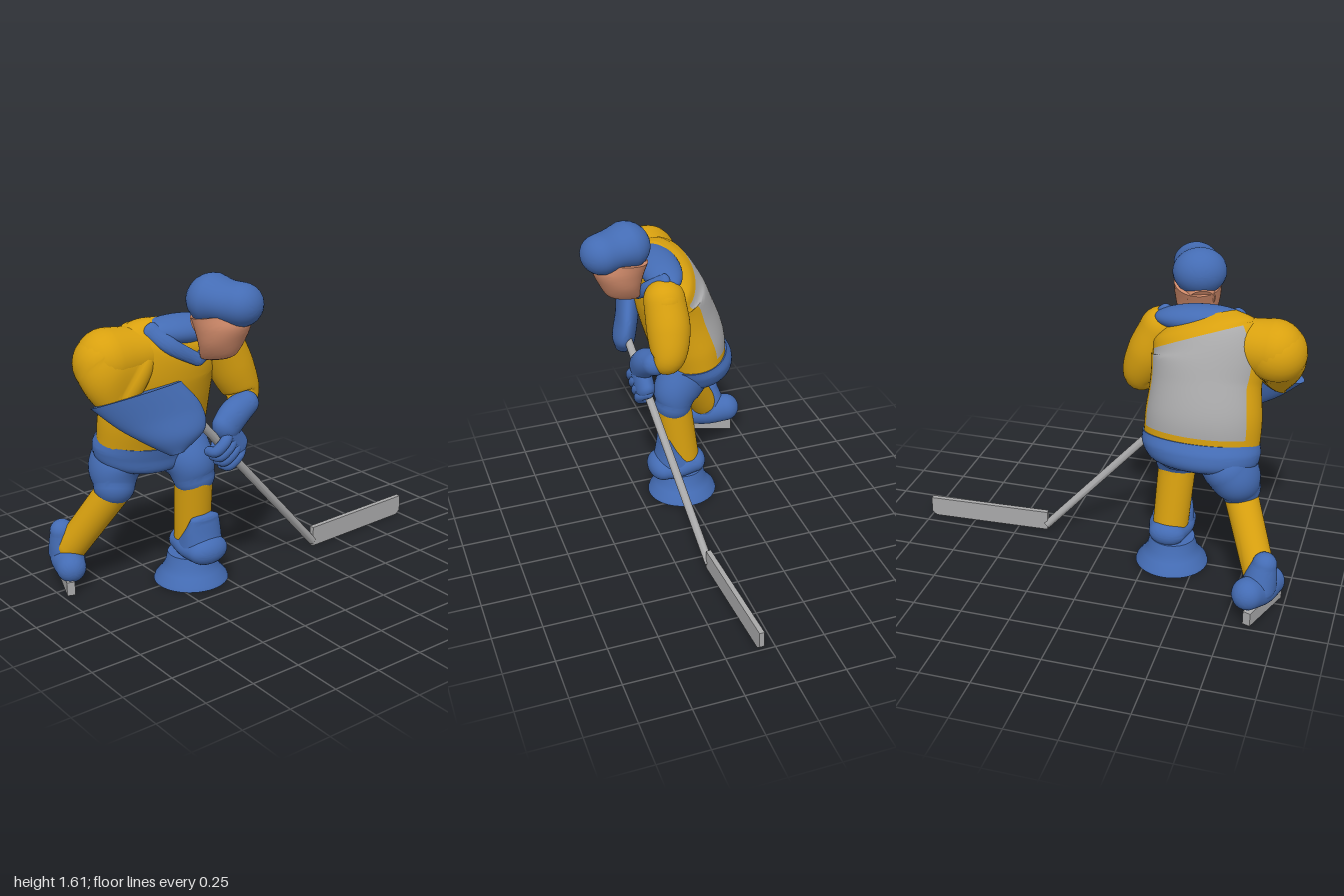
import * as THREE from 'three';
import { toCreasedNormals } from 'three/addons/utils/BufferGeometryUtils.js';

const material = (name, color) => Object.assign(new THREE.MeshStandardMaterial({ color }), { name });

// Smooth body of elliptical sections [x, y, z, ru, rv]; ru runs along the hint axis.
// With axis given, all sections are parallel and face that way.
function loft(pts, { hint = [1, 0, 0], axis = null, start = true, end = true, seg = 40, steps = 8, second = null } = {}) {
  const V = (x, y, z) => new THREE.Vector3(x, y, z);
  const path = new THREE.CatmullRomCurve3(pts.map(p => V(p[0], p[1], p[2])), false, 'catmullrom');
  const size = new THREE.CatmullRomCurve3(pts.map(p => V(p[3], p[4] ?? p[3], 0)), false, 'catmullrom');
  const rings = [];
  const ring = (t, slide = 0, scale = 1) => {
    const s = size.getPoint(t), tan = axis ? V(...axis).normalize() : path.getTangent(t);
    const c = path.getPoint(t).addScaledVector(tan, slide * Math.min(s.x, s.y));
    const u = V(...hint).addScaledVector(tan, -tan.dot(V(...hint))).normalize();
    rings.push({ t, c, u, v: tan.clone().cross(u), ru: s.x * scale, rv: s.y * scale });
  };
  const K = 7, n = steps * (pts.length - 1);
  if (start) for (let k = K; k > 0; k--) { const a = k / K * 1.5; ring(0, -Math.sin(a), Math.cos(a)); }
  for (let i = 0; i <= n; i++) ring(i / n);
  if (end) for (let k = 1; k <= K; k++) { const a = k / K * 1.5; ring(1, Math.sin(a), Math.cos(a)); }
  const pos = [], main = [], other = [];
  for (const r of rings) for (let j = 0; j < seg; j++) {
    const a = j / seg * Math.PI * 2;
    pos.push(...r.c.clone().addScaledVector(r.u, Math.cos(a) * r.ru).addScaledVector(r.v, Math.sin(a) * r.rv));
  }
  const last = rings.length - 1, hub = rings.length * seg;
  pos.push(...rings[0].c, ...rings[last].c);
  for (let j = 0; j < seg; j++) {
    const k = (j + 1) % seg;
    for (let i = 0; i < last; i++) {
      const a = i * seg + j, b = i * seg + k;
      const list = second && second(rings[i].t, (j + 0.5) / seg) ? other : main;
      list.push(a, b, b + seg, a, b + seg, a + seg);
    }
    main.push(hub, k, j, hub + 1, last * seg + j, last * seg + k);
  }
  const g = new THREE.BufferGeometry();
  g.setAttribute('position', new THREE.Float32BufferAttribute(pos, 3));
  g.setIndex(main.concat(other));
  if (second) {
    g.addGroup(0, main.length, 0);
    g.addGroup(main.length, other.length, 1);
  }
  return toCreasedNormals(g, 0.9);
}

export function createModel() {
  const model = new THREE.Group();
  model.name = 'hockeyPlayer';
  const blue = material('blue', 0x446cb4);
  const gold = material('gold', 0xd9a10f);
  const grey = material('grey', 0xa9a9aa);
  const skin = material('skin', 0xd18b6b);
  const add = (name, geometry, mat) => {
    const m = new THREE.Mesh(geometry, mat);
    m.name = name;
    model.add(m);
    return m;
  };

  // Jersey with a grey back panel
  add('jersey', loft([
    [-0.095, 0.785, 0.525, 0.185, 0.285], [-0.07, 0.9, 0.525, 0.2, 0.285], [-0.02, 1.05, 0.52, 0.195, 0.27],
    [0.02, 1.18, 0.52, 0.18, 0.28], [0.055, 1.275, 0.49, 0.14, 0.26], [0.08, 1.335, 0.47, 0.07, 0.17],
  ], { start: false, end: false, seg: 60,
    second: (t, a) => t > 0.06 && t < 0.75 && a > 0.315 && a < 0.65 }), [gold, grey]);
  add('shoulders', loft([
    [0.12, 1.235, 0.245, 0.095], [0.08, 1.25, 0.48, 0.09], [0.04, 1.235, 0.7, 0.13], [0.03, 1.23, 0.83, 0.148],
  ]), gold);
  add('rightSleeve', loft([
    [0.03, 1.215, 0.84, 0.15], [0.075, 1.165, 0.82, 0.125, 0.162], [0.12, 1.125, 0.77, 0.07, 0.19],
  ]), gold);
  add('leftSleeve', loft([
    [0.12, 1.24, 0.26, 0.105], [0.12, 1.1, 0.2, 0.11], [0.14, 0.975, 0.155, 0.088], [0.18, 0.93, 0.2, 0.055],
  ]), gold);

  // Collar: back of the neck and V at the front
  const collar = add('collar', new THREE.SphereGeometry(1, 40, 28), blue);
  collar.position.set(0.085, 1.325, 0.46);
  collar.scale.set(0.105, 0.068, 0.228);
  collar.rotation.set(-0.07, 0, -0.12);
  for (const side of [1, -1]) add('collarFlap', loft([
    [0.11, 1.345 + 0.01 * side, 0.46 + 0.19 * side, 0.025, 0.04],
    [0.18, 1.28, 0.455 + 0.125 * side, 0.025, 0.038],
    [0.205, 1.2, 0.45, 0.02, 0.03],
  ]), blue);

  // Head
  add('neck', loft([[0.205, 1.37, 0.435, 0.068], [0.27, 1.41, 0.41, 0.09]]), skin);
  add('face', loft([
    [0.28, 1.215, 0.4, 0.065, 0.03], [0.292, 1.235, 0.4, 0.095, 0.065], [0.312, 1.3, 0.395, 0.113, 0.1],
    [0.318, 1.37, 0.393, 0.137, 0.115], [0.3, 1.43, 0.395, 0.145, 0.118],
  ], { hint: [0.96, 0, -0.25], axis: [-0.2, 1, 0.05], start: false, end: false }), skin);
  add('cap', loft([
    [0.268, 1.495, 0.41, 0.118, 0.133], [0.34, 1.492, 0.387, 0.1, 0.122], [0.408, 1.488, 0.36, 0.1, 0.112],
  ], { hint: [0, 1, 0] }), blue);

  // Breeches
  add('hips', loft([
    [-0.092, 0.795, 0.52, 0.193, 0.287], [-0.118, 0.74, 0.53, 0.202, 0.29],
    [-0.125, 0.67, 0.54, 0.188, 0.25], [-0.11, 0.62, 0.54, 0.09, 0.12],
  ], { axis: [-0.2, -1, 0], start: false, end: false }), blue);
  add('rightThigh', loft([
    [-0.152, 0.69, 0.665, 0.155, 0.125], [-0.138, 0.62, 0.71, 0.148, 0.12], [-0.115, 0.55, 0.73, 0.105, 0.1],
  ]), blue);
  add('leftThigh', loft([
    [-0.03, 0.7, 0.405, 0.125, 0.15], [0.025, 0.63, 0.385, 0.12, 0.125], [0.045, 0.56, 0.375, 0.097, 0.107],
  ]), blue);

  // Stockings
  add('rightStocking', loft([[-0.1, 0.55, 0.72, 0.084], [-0.3, 0.2, 0.875, 0.078]]), gold);
  add('leftStocking', loft([[0.045, 0.55, 0.378, 0.095], [0, 0.2, 0.36, 0.09]]), gold);

  // Right skate
  add('rightBoot', loft([
    [-0.428, 0.155, 0.845, 0.08, 0.077], [-0.33, 0.13, 0.885, 0.08, 0.085], [-0.235, 0.12, 0.92, 0.074],
  ], { hint: [0, 1, 0] }), blue);
  add('rightAnkle', loft([
    [-0.337, 0.275, 0.905, 0.06], [-0.34, 0.22, 0.895, 0.078, 0.075], [-0.34, 0.16, 0.885, 0.105, 0.085],
  ]), blue);
  const blade = add('skateBlade', new THREE.BoxGeometry(0.305, 0.07, 0.04), grey);
  blade.position.set(-0.322, 0.035, 0.905);
  blade.rotation.y = -0.35;

  // Left boot on its flared base
  add('leftBoot', loft([
    [-0.055, 0.19, 0.357, 0.066, 0.095], [0.04, 0.188, 0.357, 0.07, 0.116], [0.125, 0.187, 0.357, 0.073, 0.11],
  ], { hint: [0, 1, 0] }), blue);
  add('leftTongue', loft([
    [0.105, 0.345, 0.358, 0.032, 0.085], [0.09, 0.28, 0.358, 0.063, 0.1], [0.07, 0.21, 0.358, 0.11, 0.11],
  ], { end: false }), blue);
  const base = add('base', toCreasedNormals(new THREE.LatheGeometry([
    [0, 0], [0.187, 0], [0.18, 0.018], [0.148, 0.055], [0.128, 0.09], [0.115, 0.145], [0, 0.145],
  ].map(p => new THREE.Vector2(...p)), 48), 0.7), blue);
  base.position.set(0.003, 0, 0.372);

  // Right gauntlet: wide flat cuff narrowing to the grip
  add('rightGauntlet', loft([
    [0.162, 1.085, 0.765, 0.067, 0.218], [0.205, 0.97, 0.665, 0.062, 0.2],
    [0.245, 0.87, 0.603, 0.06, 0.137], [0.255, 0.795, 0.612, 0.03, 0.035],
  ], { hint: [0.97, 0, 0.25], axis: [0.33, -1, -0.1], start: false, end: false }), blue);

  // Left glove with fingers closed round the shaft
  add('leftCuff', loft([
    [0.2, 0.935, 0.178, 0.068, 0.062], [0.22, 0.9, 0.26, 0.07, 0.075], [0.232, 0.85, 0.32, 0.06, 0.075],
  ]), blue);
  add('leftPalm', loft([[0.235, 0.81, 0.33, 0.052, 0.088], [0.23, 0.735, 0.268, 0.05, 0.082]]), blue);
  for (let i = 0; i < 4; i++) {
    const x = 0.262 - i * 0.005, y = 0.79 - i * 0.031, z = 0.35 - i * 0.029;
    add('finger', loft([
      [x - 0.045, y - 0.045, z + 0.055, 0.024], [x, y - 0.035, z + 0.045, 0.027],
      [x + 0.012, y + 0.01, z, 0.028], [x - 0.02, y + 0.04, z - 0.04, 0.026],
    ], { hint: [0.3, 0.7, 0.7], seg: 16, steps: 5 }), blue);
  }

  // Stick
  add('stickShaft', loft([[0.25, 0.91, 0.475, 0.021], [0.098, 0.025, -0.345, 0.021]],
    { start: false, end: false, seg: 20 }), grey);
  const outline = new THREE.Shape([[0, 0], [0.635, 0], [0.66, 0.02], [0.66, 0.105], [0, 0.105]]
    .map(p => new THREE.Vector2(...p)));
  const stickBlade = add('stickBlade', new THREE.ExtrudeGeometry(outline, { depth: 0.026, bevelEnabled: false })
    .translate(0, 0, -0.013), grey);
  stickBlade.position.set(0.1, 0, -0.34);
  stickBlade.rotation.y = Math.PI / 2 + 0.045;

  return model;
}
